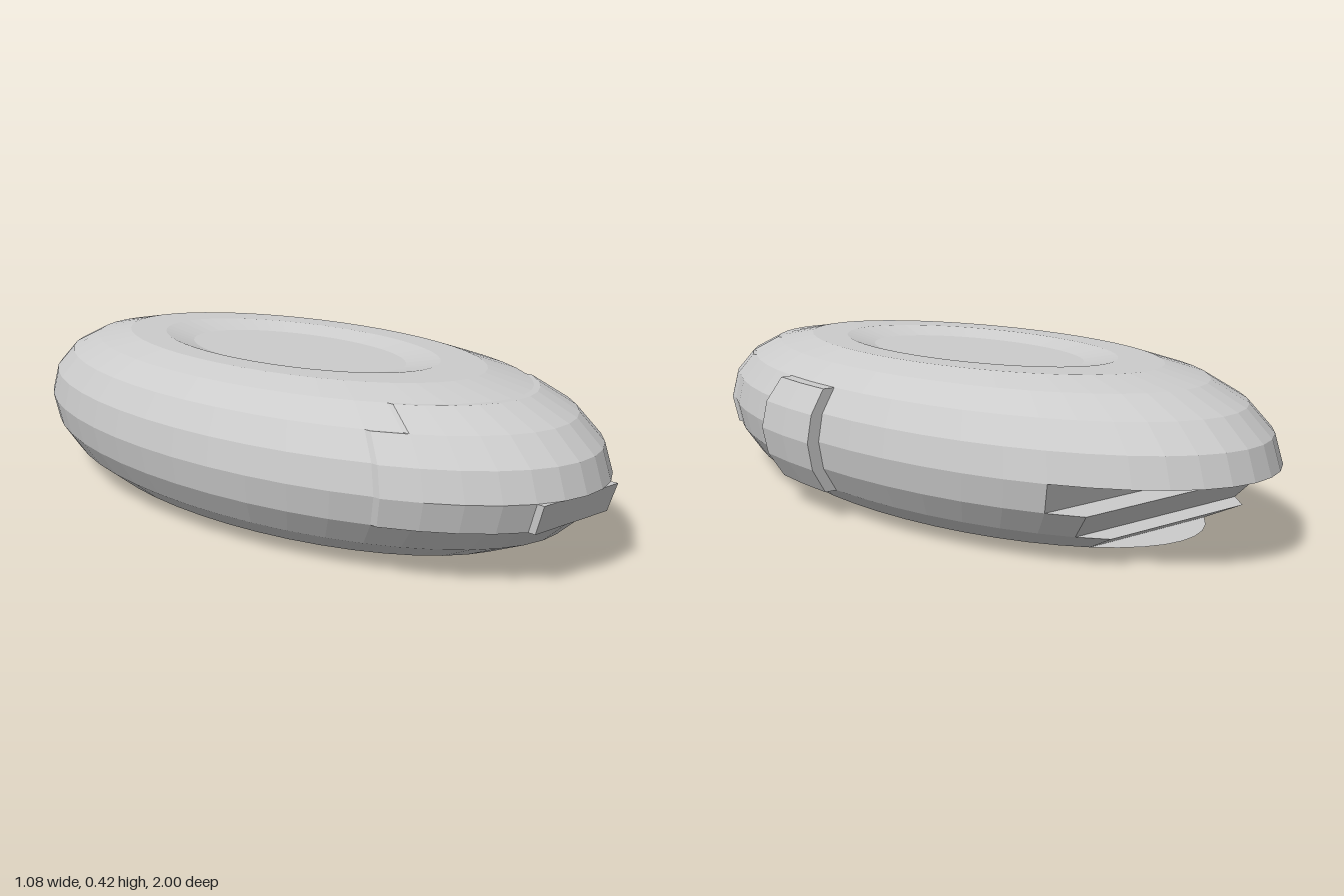
import * as THREE from 'three';

const SEGS = 48, STEP = (Math.PI * 2) / SEGS;
const CX = -0.017, CZ = -0.01, RX = 0.523, RZ = 0.99, MID = 0.21;

// Rim profile [relative radius, height] for a ring; ring 0 is the widest one
function ring(j) {
  if (j === 6) return [0.39, 0.4];
  if (j === -7) return [0.335, 0.037];
  const t = (j * Math.PI) / 9;
  return [0.576 + 0.424 * Math.cos(t), MID + 0.2132 * Math.sin(t)];
}

// Point on ring j at segment a (0 = front, 12 = left, 24 = back)
function pt(j, a, off = [0, 0, 0]) {
  const [r, y] = ring(j);
  return [CX + RX * r * Math.sin(a * STEP) + off[0], y + off[1], CZ + RZ * r * Math.cos(a * STEP) + off[2]];
}

// Polygon as a triangle fan
function fan(out, pts) {
  for (let i = 1; i < pts.length - 1; i++) out.push(...pts[0], ...pts[i], ...pts[i + 1]);
}

// Patch of the surface between rings j0..j1 and segments a0..a1
function patch(out, j0, j1, a0, a1, off) {
  for (let j = j0; j < j1; j++)
    for (let a = a0; a < a1; a++)
      fan(out, [pt(j, a, off), pt(j, a + 1, off), pt(j + 1, a + 1, off), pt(j + 1, a, off)]);
}

// Edge walls joining a raised outline of [ring, segment] corners to the body
function rim(out, corners, off) {
  corners.forEach(([j, a], i) => {
    const [j2, a2] = corners[(i + 1) % corners.length];
    const n = Math.max(Math.abs(j2 - j), Math.abs(a2 - a));
    for (let k = 0; k < n; k++) {
      const at = (s, o) => pt(j + ((j2 - j) * s) / n, a + ((a2 - a) * s) / n, o);
      fan(out, [at(k), at(k + 1), at(k + 1, off), at(k, off)]);
    }
  });
}

function arc(j, from, to) {
  const pts = [];
  for (let a = from; a <= to; a++) pts.push(pt(j, a));
  return pts;
}

function mesh(name, positions) {
  const geo = new THREE.BufferGeometry();
  geo.setAttribute('position', new THREE.Float32BufferAttribute(positions, 3));
  geo.computeVertexNormals();
  const mat = new THREE.MeshStandardMaterial({ color: 0xcccccc, flatShading: true, side: THREE.DoubleSide });
  const m = new THREE.Mesh(geo, mat);
  m.name = name;
  return m;
}

export function createModel() {
  const group = new THREE.Group();
  group.name = 'ovalDevice';

  // Rounded oval shell; lower back bands stop short to leave the stepped notch
  const notch = { '-1': 6, '-2': 5, '-3': 4 };
  const body = [];
  for (let j = -7; j < 6; j++) {
    const half = notch[j] ?? 0;
    patch(body, j, j + 1, -24 + half, 24 - half);
  }
  group.add(mesh('body', body));

  // Shallow dished centres, top and bottom
  const top = [], bottom = [];
  fan(top, arc(6, 0, SEGS - 1));
  fan(bottom, arc(-7, 0, SEGS - 1).reverse());
  group.add(mesh('topDish', top), mesh('bottomDish', bottom));

  // Notch at the back: flat ceiling, then sloping walls and ledges
  const steps = [];
  fan(steps, arc(0, 18, 30).reverse());
  for (const j of [-1, -2, -3]) {
    const h = notch[j], next = notch[j - 1] ?? 0;
    fan(steps, [pt(j, 24 + h), pt(j, 24 - h), pt(j + 1, 24 - h), pt(j + 1, 24 + h)]);
    const edge = arc(j, 24 - h, 24 - next);
    fan(steps, [...edge, ...arc(j, 24 + Math.max(next, 1), 24 + h)]);
  }
  group.add(mesh('backNotch', steps));

  // Raised front panel with a narrower top band and a gap below
  const panel = [], push = [0, 0, 0.02];
  patch(panel, -1, 0, -6, -2, push);
  patch(panel, -1, 0, 2, 6, push);
  patch(panel, 0, 2, -6, 6, push);
  patch(panel, 2, 3, -5, 5, push);
  rim(panel, [[-1, -6], [-1, -2], [0, -2], [0, 2], [-1, 2], [-1, 6],
    [2, 6], [2, 5], [3, 5], [3, -5], [2, -5], [2, -6]], push);
  group.add(mesh('frontPanel', panel));

  // Flat insert filling the gap in the panel
  const insert = [], o = [0, 0, 0.04];
  const c = [pt(-1, -2, o), pt(-1, 2, o), pt(0, 2, o), pt(0, -2, o)];
  const b = [pt(-1, -2), pt(-1, 2), pt(0, 2), pt(0, -2)];
  fan(insert, c);
  for (let i = 0; i < 4; i++) fan(insert, [b[i], b[(i + 1) % 4], c[(i + 1) % 4], c[i]]);
  group.add(mesh('frontInsert', insert));

  // Raised button curving round the left side
  const button = [], out = [0.034, 0, 0];
  patch(button, -2, 2, 10, 12, out);
  rim(button, [[-2, 10], [-2, 12], [2, 12], [2, 10]], out);
  group.add(mesh('sideButton', button));

  return group;
}
